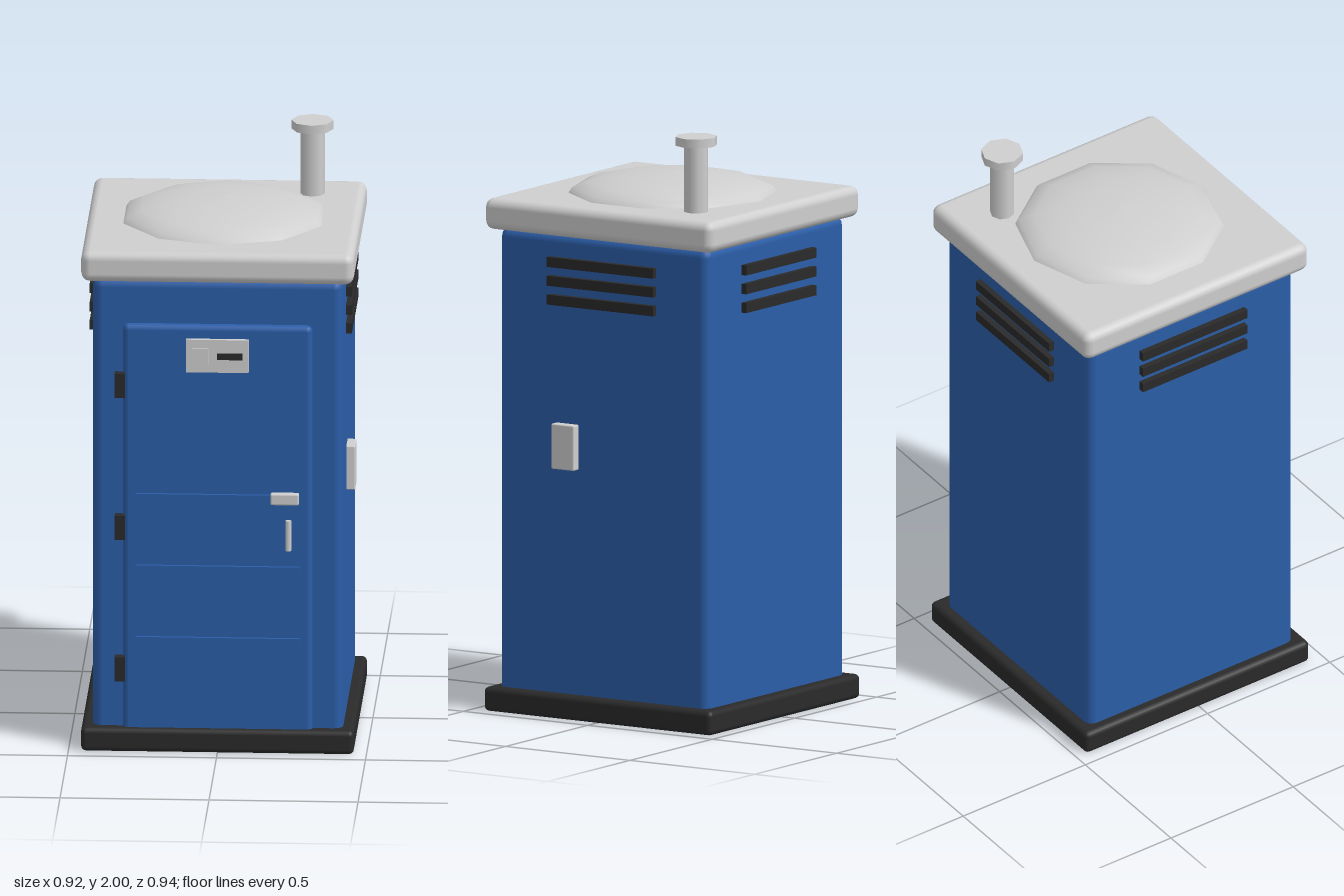
import * as THREE from 'three';
import { RoundedBoxGeometry } from 'three/addons/geometries/RoundedBoxGeometry.js';

const material = (name, color) => {
  const m = new THREE.MeshStandardMaterial({ color });
  m.name = name;
  return m;
};

export function createModel() {
  const blue = material('blue plastic', 0x2b5ea9);
  const grey = material('light grey plastic', 0xcfcfcf);
  const dark = material('dark plastic', 0x2a2a2a);
  const model = new THREE.Group();
  model.name = 'portableToilet';
  const Z = -0.008; // centre of the cabin in depth

  const add = (name, geometry, mat, x = 0, y = 0, z = 0) => {
    const mesh = new THREE.Mesh(geometry, mat);
    mesh.name = name;
    mesh.position.set(x, y, z);
    model.add(mesh);
    return mesh;
  };
  // Box given by its limits on each axis, with an optional edge radius
  const block = (name, mat, [x0, x1], [y0, y1], [z0, z1], radius = 0) => {
    const size = [x1 - x0, y1 - y0, z1 - z0];
    const geometry = radius ? new RoundedBoxGeometry(...size, 2, radius) : new THREE.BoxGeometry(...size);
    return add(name, geometry, mat, (x0 + x1) / 2, (y0 + y1) / 2, (z0 + z1) / 2);
  };

  // Main volumes
  block('base', dark, [-0.458, 0.458], [0, 0.083], [Z - 0.458, Z + 0.458], 0.018);
  block('cabin', blue, [-0.42, 0.42], [0.02, 1.645], [Z - 0.42, Z + 0.42], 0.032);
  block('roof', grey, [-0.458, 0.458], [1.638, 1.744], [Z - 0.458, Z + 0.458], 0.03);

  // Low ten-sided skylight dome
  const profile = [];
  for (let i = 0; i <= 5; i++) {
    const a = (i / 5) * Math.PI / 2;
    profile.push(new THREE.Vector2(i === 5 ? 0 : 0.354 * Math.cos(a), 0.077 * Math.sin(a)));
  }
  add('skylightDome', new THREE.LatheGeometry(profile, 10), grey, 0, 1.738, Z - 0.002);

  // Vent pipe with cap
  const px = 0.283, pz = -0.292;
  add('ventPipe', new THREE.CylinderGeometry(0.041, 0.041, 0.27, 8), grey, px, 1.845, pz);
  add('ventCap', new THREE.CylinderGeometry(0.071, 0.071, 0.03, 8), grey, px, 1.985, pz);

  // Door with ribs and hinges
  block('door', blue, [-0.318, 0.318], [0.06, 1.49], [0.35, 0.432], 0.02);
  for (const y of [0.39, 0.64, 0.89]) {
    block('doorRib', blue, [-0.275, 0.275], [y - 0.012, y + 0.012], [0.42, 0.444]);
  }
  for (const y of [0.288, 0.782, 1.278]) {
    block('hinge', dark, [-0.345, -0.31], [y - 0.042, y + 0.042], [0.4, 0.446]);
  }

  // Sign plate with a pale square and a dark slot
  block('signPlate', grey, [-0.105, 0.105], [1.33, 1.444], [0.42, 0.447]);
  block('signSquare', grey, [-0.085, -0.03], [1.36, 1.415], [0.446, 0.453]);
  block('signSlot', dark, [0, 0.085], [1.376, 1.398], [0.446, 0.453]);

  // Latch and pull handle
  block('latch', grey, [0.178, 0.274], [0.87, 0.91], [0.42, 0.453], 0.006);
  add('handle', new THREE.CylinderGeometry(0.01, 0.01, 0.105, 8), grey, 0.239, 0.768, 0.46);
  for (const y of [0.735, 0.8]) {
    block('handleMount', grey, [0.234, 0.244], [y - 0.005, y + 0.005], [0.42, 0.46]);
  }

  // Small box on the left wall
  block('sideBox', grey, [0.405, 0.45], [0.848, 1.002], [0.09, 0.181], 0.005);

  // Three louvres on both sides and the back
  for (const y of [1.42, 1.484, 1.548]) {
    const h = [y - 0.017, y + 0.017];
    for (const side of [-1, 1]) {
      block('sideVent', dark, [side * 0.426 - 0.014, side * 0.426 + 0.014], h, [Z - 0.214, Z + 0.214]);
    }
    block('backVent', dark, [-0.214, 0.214], h, [Z - 0.44, Z - 0.412]);
  }
  return model;
}
